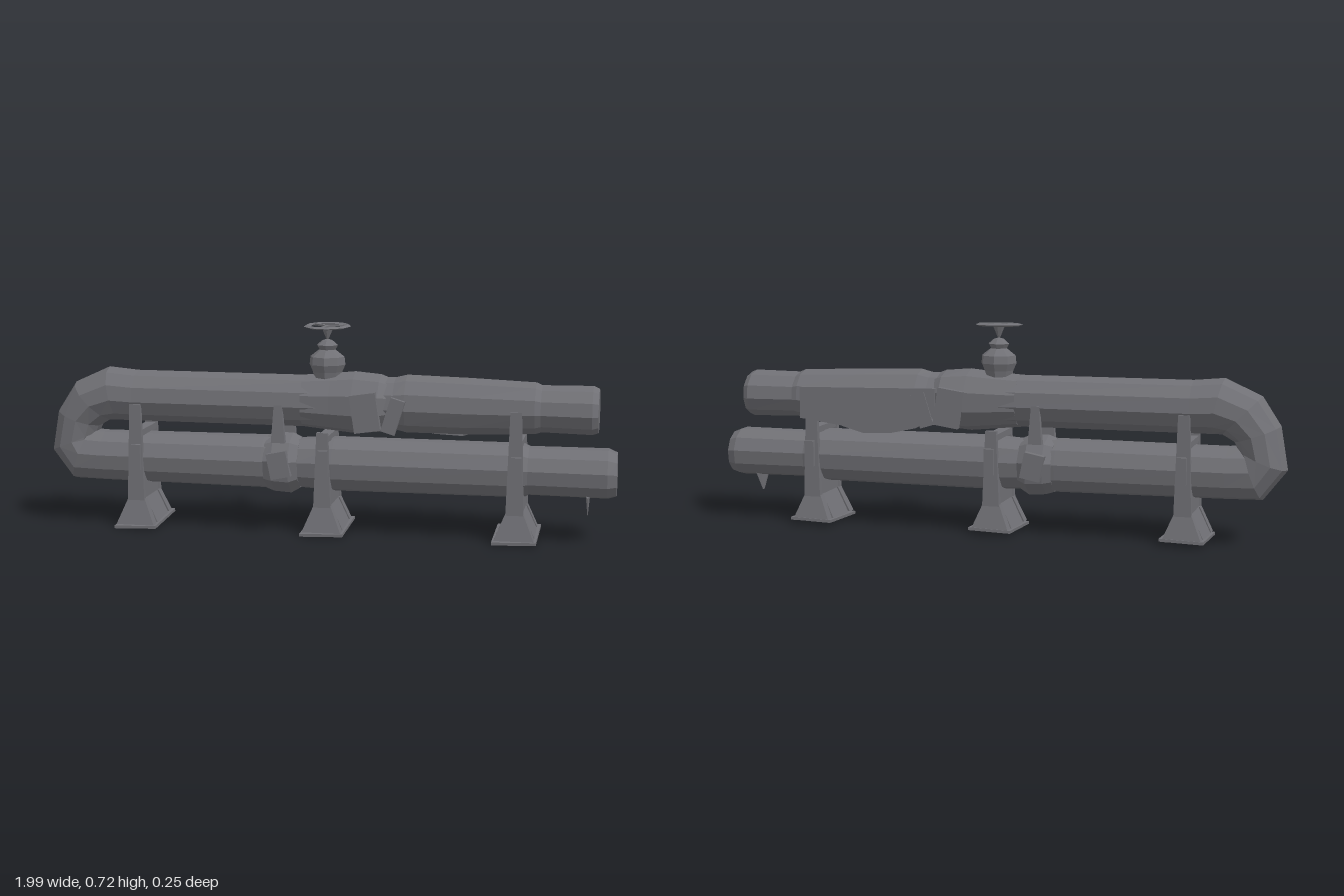
import * as THREE from 'three';

const iron = new THREE.MeshStandardMaterial({ color: 0x707075, flatShading: true, side: THREE.DoubleSide });
iron.name = 'grey iron';

function add(parent, name, geometry, x = 0, y = 0, z = 0) {
  const mesh = new THREE.Mesh(geometry, iron);
  mesh.name = name;
  mesh.position.set(x, y, z);
  parent.add(mesh);
  return mesh;
}

// Skin over elliptical rings [x, y, heading in degrees, radius in plane, radius in z], capped at both ends
function loft(rings, sides = 11) {
  const pos = [], index = [];
  for (const [x, y, deg, ry, rz] of rings) {
    const a = THREE.MathUtils.degToRad(deg);
    for (let j = 0; j < sides; j++) {
      const b = (j / sides) * Math.PI * 2;
      pos.push(x - Math.sin(a) * Math.cos(b) * ry, y + Math.cos(a) * Math.cos(b) * ry, Math.sin(b) * rz);
    }
  }
  for (let i = 0; i < rings.length - 1; i++) {
    for (let j = 0; j < sides; j++) {
      const a = i * sides + j, b = i * sides + (j + 1) % sides;
      index.push(a, b, a + sides, b, b + sides, a + sides);
    }
  }
  const last = (rings.length - 1) * sides;
  for (let j = 1; j < sides - 1; j++) {
    index.push(0, j + 1, j, last, last + j, last + j + 1);
  }
  const g = new THREE.BufferGeometry();
  g.setAttribute('position', new THREE.Float32BufferAttribute(pos, 3));
  g.setIndex(index);
  g.computeVertexNormals();
  return g;
}

// Four-sided block tapering from [x, z] half sizes at the bottom to those at the top
function taper(bottom, top, height) {
  const g = new THREE.BoxGeometry(2, height, 2);
  const p = g.attributes.position;
  for (let i = 0; i < p.count; i++) {
    const [hx, hz] = p.getY(i) < 0 ? bottom : top;
    p.setX(i, p.getX(i) * hx);
    p.setZ(i, p.getZ(i) * hz);
  }
  g.translate(0, height / 2, 0);
  return g;
}

// Foot, saddle and side straps that hold the lower pipe
function support(x, strapTop) {
  const g = new THREE.Group();
  g.name = 'pipeSupport';
  g.position.x = x;
  const plate = add(g, 'footPlate', new THREE.BoxGeometry(0.15, 0.01, 0.245), 0, 0.013, 0);
  plate.rotation.set(0.05, 0, 0.03);
  add(g, 'footWeb', taper([0.068, 0.07], [0.026, 0.066], 0.09), 0, 0.015, 0);
  for (const s of [-1, 1]) {
    const cheek = taper([0.068, 0.018], [0.03, 0.016], 0.09);
    const p = cheek.attributes.position;
    for (let i = 0; i < p.count; i++) p.setZ(i, p.getZ(i) + s * (p.getY(i) < 0.04 ? 0.102 : 0.083));
    add(g, 'footCheek', cheek, 0, 0.015, 0);
    add(g, 'strap', taper([0.03, 0.011], [0.019, 0.009], strapTop - 0.1), 0, 0.1, s * 0.092);
    add(g, 'strapBolt', new THREE.BoxGeometry(0.034, 0.09, 0.02), 0.004, 0.255, s * 0.107);
  }
  add(g, 'saddle', taper([0.026, 0.09], [0.026, 0.09], 0.09), 0, 0.1, 0);
  add(g, 'strapBridge', new THREE.BoxGeometry(0.04, 0.022, 0.2), 0, 0.337, 0);
  return g;
}

function handwheel() {
  const g = new THREE.Group();
  g.name = 'handwheel';
  const rim = add(g, 'rim', new THREE.TorusGeometry(0.071, 0.012, 4, 9));
  rim.rotation.x = Math.PI / 2;
  rim.scale.z = 0.4;
  for (let i = 0; i < 3; i++) {
    const a = (i / 3) * Math.PI * 2 + 0.4;
    const spoke = add(g, 'spoke', new THREE.BoxGeometry(0.068, 0.006, 0.013), Math.cos(a) * 0.034, 0, -Math.sin(a) * 0.034);
    spoke.rotation.y = a;
  }
  g.position.y = 0.717;
  g.rotation.x = 0.04;
  return g;
}

export function createModel() {
  const model = new THREE.Group();
  model.name = 'pipework';

  // One run: lower pipe, return bend, upper pipe
  add(model, 'pipeRun', loft([
    [0.995, 0.235, 180, 0.075, 0.08],
    [0.965, 0.237, 180, 0.086, 0.095],
    [0.70, 0.238, 180, 0.084, 0.093],
    [0.68, 0.238, 180, 0.094, 0.098],
    [0.03, 0.238, 180, 0.096, 0.096],
    [-0.10, 0.238, 180, 0.088, 0.092],
    [-0.22, 0.238, 180, 0.094, 0.098],
    [-0.80, 0.24, 180, 0.09, 0.096],
    [-0.885, 0.243, 160, 0.096, 0.094],
    [-0.915, 0.29, 112, 0.09, 0.092],
    [-0.897, 0.375, 70, 0.082, 0.093],
    [-0.845, 0.435, 45, 0.093, 0.096],
    [-0.765, 0.463, 12, 0.097, 0.098],
    [-0.68, 0.458, 0, 0.09, 0.096],
    [0.04, 0.456, 0, 0.09, 0.094],
    [0.24, 0.456, 0, 0.09, 0.092],
    [0.28, 0.456, 0, 0.1, 0.096],
    [0.50, 0.453, 0, 0.097, 0.097],
    [0.72, 0.453, 0, 0.088, 0.096],
    [0.74, 0.452, 0, 0.08, 0.09],
    [0.91, 0.451, 0, 0.083, 0.094],
    [0.93, 0.45, 0, 0.075, 0.08],
  ]));

  // Valve body and its clamp on the upper pipe
  add(model, 'valveBody', loft([
    [-0.08, 0.456, 0, 0.091, 0.095],
    [0.02, 0.455, 0, 0.1, 0.1],
    [0.10, 0.455, 0, 0.108, 0.106],
    [0.19, 0.455, 0, 0.1, 0.108],
    [0.22, 0.455, 0, 0.088, 0.09],
  ], 10));
  for (const s of [-1, 1]) {
    add(model, 'clampLug', new THREE.BoxGeometry(0.09, 0.13, 0.025), 0.15, 0.435, s * 0.105).rotation.z = 0.15;
    add(model, 'clampTab', new THREE.BoxGeometry(0.05, 0.12, 0.02), 0.245, 0.425, s * 0.1).rotation.z = -0.3;
  }

  // Loose wrapping that hangs below the back of the upper pipe
  const sheet = new THREE.Shape();
  sheet.moveTo(0.2, 0.5);
  for (const [x, y] of [[0.2, 0.4], [0.27, 0.36], [0.36, 0.34], [0.46, 0.335], [0.55, 0.36], [0.7, 0.38], [0.7, 0.49]]) sheet.lineTo(x, y);
  add(model, 'wrapping', new THREE.ExtrudeGeometry(sheet, { depth: 0.025, bevelEnabled: false }), 0, 0, -0.106);

  // Flange joint on the lower pipe, with posts up to the upper pipe
  add(model, 'flange', loft([
    [-0.21, 0.238, 0, 0.094, 0.1],
    [-0.18, 0.238, 0, 0.104, 0.112],
    [-0.12, 0.236, 0, 0.106, 0.112],
    [-0.09, 0.238, 0, 0.09, 0.096],
  ], 9));
  for (const s of [-1, 1]) {
    add(model, 'flangeLug', new THREE.BoxGeometry(0.07, 0.09, 0.025), -0.15, 0.245, s * 0.108).rotation.z = 0.2;
    add(model, 'flangePost', taper([0.024, 0.012], [0.014, 0.008], 0.13), -0.155, 0.32, s * 0.088);
  }

  // Valve bonnet, stem and handwheel
  const profile = [[0.045, 0.53], [0.052, 0.56], [0.063, 0.585], [0.06, 0.612], [0.034, 0.632], [0.028, 0.636],
    [0.037, 0.652], [0.018, 0.668], [0.004, 0.672], [0.021, 0.712], [0, 0.716]];
  add(model, 'valveBonnet', new THREE.LatheGeometry(profile.map(([r, y]) => new THREE.Vector2(r, y)), 8));
  model.add(handwheel());

  // Drain fin under the open end of the lower pipe
  const fin = add(model, 'drainFin', new THREE.CylinderGeometry(0.062, 0.008, 0.07, 6), 0.9, 0.13, 0.015);
  fin.scale.x = 0.12;

  model.add(support(-0.665, 0.44), support(0, 0.36), support(0.66, 0.45));
  return model;
}
